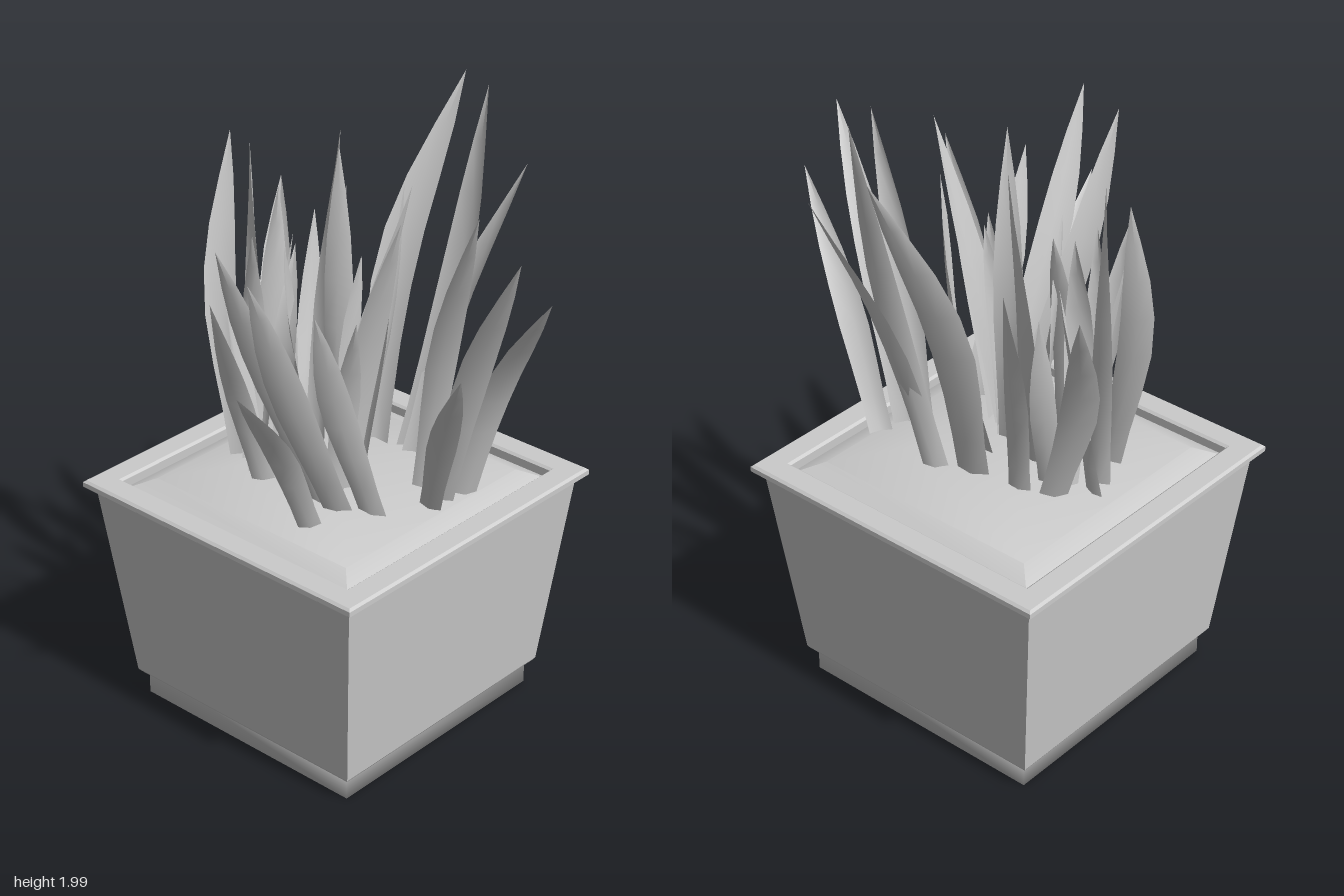
import * as THREE from 'three';
import { toCreasedNormals } from 'three/addons/utils/BufferGeometryUtils.js';

const CX = -0.09, CZ = -0.05; // pot centre
const mat = new THREE.MeshStandardMaterial({ color: 0xcccccc });
const leafMat = new THREE.MeshStandardMaterial({ color: 0xcccccc, side: THREE.DoubleSide });

// Square solid from a profile of [half width, height], listed from bottom to top
function squareLathe(name, profile, crease) {
  const pts = profile.map(([h, y]) => new THREE.Vector2(h * Math.SQRT2, y));
  const geo = new THREE.LatheGeometry(pts, 4).rotateY(Math.PI / 4);
  const mesh = new THREE.Mesh(toCreasedNormals(geo, crease), mat);
  mesh.position.set(CX, 0, CZ);
  mesh.name = name;
  return mesh;
}

// Tapered, lightly folded leaf along a bent path; roll turns it about the vertical, twist winds it
function leaf(base, mid, tip, width, roll, twist) {
  const a = new THREE.Vector3(base[0], 0.79, base[1]);
  const c = new THREE.Vector3(...tip);
  const b = new THREE.Vector3(mid[0], a.y + (c.y - a.y) * 0.52, mid[1]);
  const curve = new THREE.CatmullRomCurve3([a, b, c]);
  const lean = Math.atan2(c.z - a.z, c.x - a.x);
  const profile = [0.8, 0.8, 0.9, 1, 0.96, 0.78, 0.45, 0];
  const n = profile.length - 1;
  const pos = [], index = [];
  profile.forEach((w, i) => {
    const t = i / n, p = curve.getPoint(t);
    const ang = lean + Math.PI / 2 + roll + twist * (t - 0.35);
    const sx = Math.cos(ang), sz = Math.sin(ang), h = w * width / 2;
    const fold = h * 0.35;
    for (const s of [-1, 0, 1]) {
      const f = s === 0 ? fold : 0;
      pos.push(p.x + sx * h * s + sz * f, p.y, p.z + sz * h * s - sx * f);
    }
    if (i < n) for (const k of [0, 1]) {
      const q = i * 3 + k;
      index.push(q, q + 1, q + 3, q + 1, q + 4, q + 3);
    }
  });
  const geo = new THREE.BufferGeometry();
  geo.setAttribute('position', new THREE.Float32BufferAttribute(pos, 3));
  geo.setIndex(index);
  geo.computeVertexNormals();
  const mesh = new THREE.Mesh(geo, leafMat);
  mesh.name = 'leaf';
  return mesh;
}

// base [x, z], middle [x, z], tip [x, y, z], width, roll, twist
const backLeaves = [
  [[-0.10, -0.22], [-0.15, -0.39], [-0.09, 1.94, -0.63], 0.13, -0.4, -0.4],
  [[0.00, -0.27], [0.10, -0.37], [0.12, 1.99, -0.48], 0.10, -0.8, 0.6],
  [[0.04, -0.24], [0.09, -0.38], [0.22, 1.75, -0.55], 0.09, -0.6, 0.8],
  [[-0.26, -0.20], [-0.30, -0.27], [-0.34, 1.58, -0.37], 0.09, 0.4, 0.7],
  [[-0.30, -0.11], [-0.36, -0.22], [-0.41, 1.50, -0.30], 0.08, -0.4, -0.8],
  [[-0.34, -0.15], [-0.48, -0.20], [-0.57, 1.56, -0.32], 0.11, 0.3, 0.6],
];
const middleLeaves = [
  [[-0.35, 0.10], [-0.48, 0.05], [-0.53, 1.80, -0.06], 0.10, 0.3, -0.9],
  [[-0.40, 0.00], [-0.43, -0.04], [-0.42, 1.81, -0.03], 0.08, 0.6, 1.2],
  [[-0.37, -0.10], [-0.36, -0.06], [-0.37, 1.65, -0.10], 0.09, 0.4, 1.4],
  [[-0.42, -0.05], [-0.39, -0.10], [-0.34, 1.50, -0.13], 0.07, -0.4, 1.2],
  [[-0.20, -0.06], [-0.25, -0.17], [-0.21, 1.85, -0.20], 0.10, 0.3, 0.9],
  [[-0.08, -0.05], [-0.10, -0.07], [-0.07, 1.88, -0.04], 0.09, 0.5, -1.3],
  [[-0.05, -0.04], [-0.03, -0.03], [0.00, 1.55, -0.06], 0.07, 0.4, 1.2],
  [[-0.06, -0.11], [-0.02, -0.20], [0.05, 1.75, -0.19], 0.10, -0.3, 1.0],
  [[-0.02, 0.03], [0.06, -0.02], [0.20, 1.83, -0.05], 0.09, 0.7, -0.9],
  [[0.03, 0.04], [0.10, 0.03], [0.22, 1.74, 0.02], 0.09, 0.6, 1.1],
  [[-0.14, 0.02], [-0.16, 0.05], [-0.16, 1.58, 0.10], 0.08, 0.4, 1.5],
  [[-0.18, 0.08], [-0.17, 0.10], [-0.20, 1.55, 0.01], 0.08, 0.3, -1.2],
  [[0.04, 0.12], [0.09, 0.11], [0.16, 1.45, 0.14], 0.08, 0.6, 0.8],
];
const rightLeaves = [
  [[0.18, -0.14], [0.27, -0.12], [0.43, 1.79, -0.07], 0.09, 0.7, 0.7],
  [[0.25, -0.14], [0.40, -0.10], [0.63, 1.73, -0.01], 0.10, 0.6, -0.5],
  [[0.28, -0.22], [0.40, -0.22], [0.635, 1.56, -0.15], 0.09, 0.6, 0.5],
  [[0.26, -0.08], [0.39, 0.02], [0.55, 1.40, 0.14], 0.09, 0.5, -0.5],
];
const frontLeaves = [
  [[0.10, 0.14], [0.10, 0.36], [0.15, 1.72, 0.57], 0.11, -0.6, -0.5],
  [[0.08, 0.25], [0.10, 0.40], [0.16, 1.40, 0.63], 0.09, -0.5, 0.4],
  [[0.04, 0.14], [-0.05, 0.30], [-0.05, 1.73, 0.49], 0.10, -0.7, -0.5],
  [[0.18, 0.08], [0.16, 0.22], [0.21, 1.57, 0.37], 0.10, -0.6, -0.7],
  [[-0.19, 0.16], [-0.22, 0.25], [-0.21, 1.47, 0.36], 0.09, -0.5, 0.8],
  [[-0.24, 0.14], [-0.28, 0.16], [-0.33, 1.46, 0.19], 0.08, 0.5, -1.0],
  [[-0.32, 0.09], [-0.33, 0.06], [-0.29, 1.58, 0.10], 0.08, 0.4, 1.3],
];

export function createModel() {
  const model = new THREE.Group();
  model.name = 'pottedPlant';

  const pot = new THREE.Group();
  pot.name = 'pot';
  pot.add(
    squareLathe('foot', [[0, 0], [0.425, 0], [0.425, 0.09]], 2),
    squareLathe('potBody', [[0.41, 0.082], [0.445, 0.082], [0.45, 0.09], [0.523, 0.76]], 0.4),
    squareLathe('rim', [[0.51, 0.755], [0.543, 0.755], [0.551, 0.762], [0.551, 0.778],
      [0.543, 0.785], [0.473, 0.785], [0.465, 0.778], [0.465, 0.72]], 0.6),
    squareLathe('soil', [[0.465, 0.75], [0.39, 0.786], [0.22, 0.825], [0, 0.84]], 0.5),
  );
  model.add(pot);

  const clumps = { backLeaves, middleLeaves, rightLeaves, frontLeaves };
  for (const [name, list] of Object.entries(clumps)) {
    const clump = new THREE.Group();
    clump.name = name;
    for (const args of list) clump.add(leaf(...args));
    model.add(clump);
  }
  return model;
}
